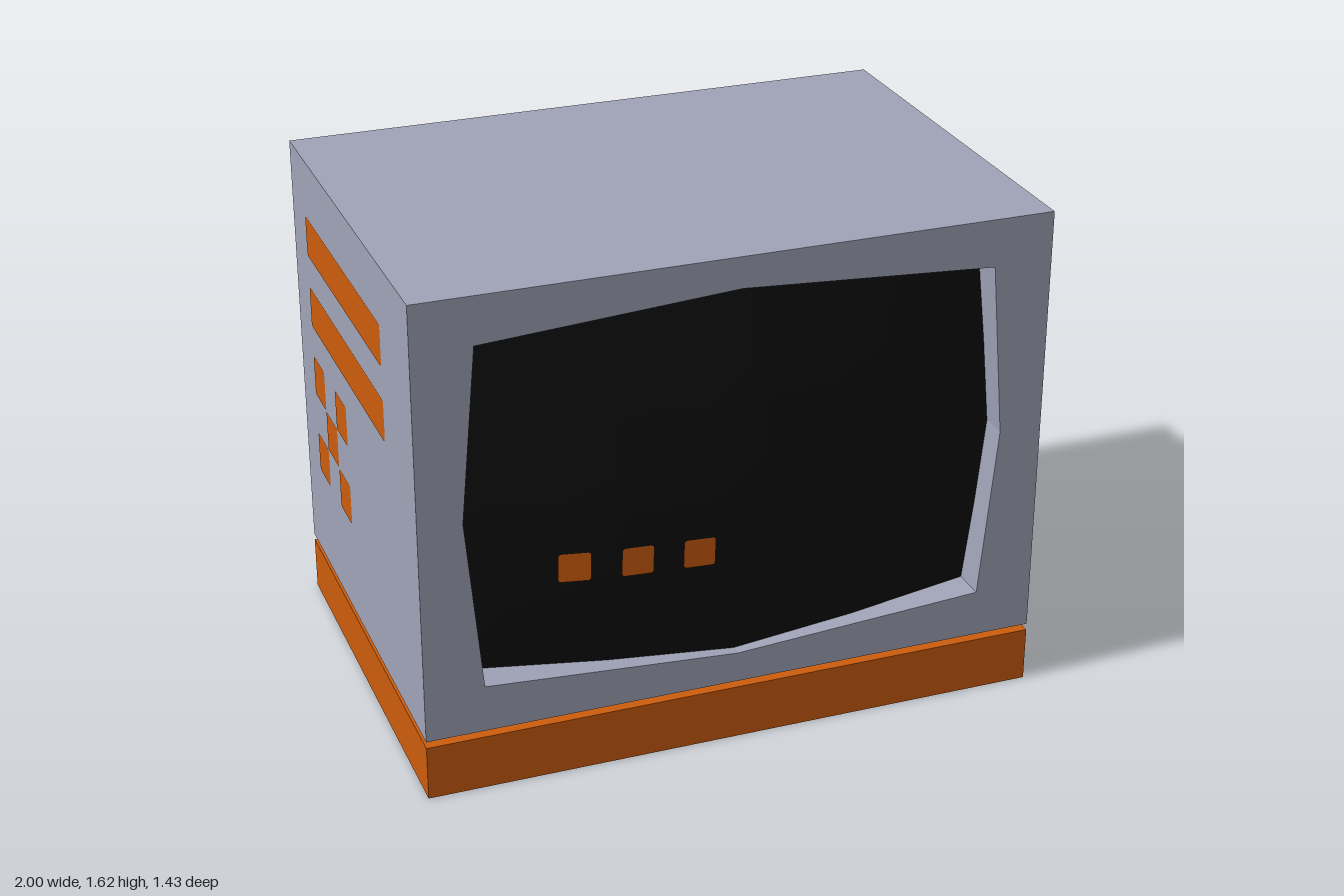
import * as THREE from 'three';

const grey = new THREE.MeshStandardMaterial({ name: 'casing grey', color: 0xa0a4b8 });
const orange = new THREE.MeshStandardMaterial({ name: 'trim orange', color: 0xcc5c0c });
const black = new THREE.MeshStandardMaterial({ name: 'screen black', color: 0x0d0d0d });

const HALF = 0.998, BACK = -0.715, FRONT = 0.67, BOTTOM = 0.2, TOP = 1.62, RIM = 0.52;
const SCREEN_Y = 0.91;

// Screen depth by horizontal (columns) and vertical (rows) distance from its centre
const DEPTHS = [
  [0.715, 0.67, 0.58],
  [0.69, 0.655, 0.575],
  [0.635, 0.61, 0.56],
];

function screenDepth(u, v) {
  const a = Math.min(Math.abs(u), 1) * 2, b = Math.min(Math.abs(v), 1) * 2;
  const i = Math.min(Math.floor(a), 1), j = Math.min(Math.floor(b), 1);
  const row = (r) => THREE.MathUtils.lerp(DEPTHS[r][i], DEPTHS[r][i + 1], a - i);
  return THREE.MathUtils.lerp(row(j), row(j + 1), b - j);
}
const halfWidth = (v) => 0.86 - 0.05 * Math.abs(v);
const halfHeight = (u) => 0.61 - 0.053 * Math.abs(u);

// Screen depth at a front-view position
function depthAt(x, y) {
  let u = 0, v = 0;
  for (let k = 0; k < 6; k++) {
    u = x / halfWidth(v);
    v = (y - SCREEN_Y) / halfHeight(u);
  }
  return screenDepth(u, v);
}

function add(parent, name, geometry, material) {
  const mesh = new THREE.Mesh(geometry, material);
  mesh.name = name;
  parent.add(mesh);
  return mesh;
}

function boxBetween(y0, y1, z0, z1) {
  return new THREE.BoxGeometry(HALF * 2, y1 - y0, z1 - z0)
    .translate(0, (y0 + y1) / 2, (z0 + z1) / 2);
}

// Flat rectangle with small rounded corners
function roundedPatch(x0, x1, y0, y1, r) {
  const s = new THREE.Shape();
  s.absarc(x1 - r, y1 - r, r, 0, Math.PI / 2);
  s.absarc(x0 + r, y1 - r, r, Math.PI / 2, Math.PI);
  s.absarc(x0 + r, y0 + r, r, Math.PI, Math.PI * 1.5);
  s.absarc(x1 - r, y0 + r, r, Math.PI * 1.5, Math.PI * 2);
  return new THREE.ShapeGeometry(s, 3);
}

export function createModel() {
  const model = new THREE.Group();
  model.name = 'monitor';

  // Base slab, with a narrow gap below the casing
  add(model, 'base', boxBetween(0, 0.178, BACK, FRONT), orange);
  add(model, 'casing', boxBetween(BOTTOM, TOP, BACK, RIM), grey);

  // Front frame with an eight-sided opening
  const frame = new THREE.Shape([
    [-HALF, BOTTOM], [HALF, BOTTOM], [HALF, TOP], [-HALF, TOP],
  ].map(([x, y]) => new THREE.Vector2(x, y)));
  const ring = [[1, 0], [1, 1], [0, 1], [-1, 1], [-1, 0], [-1, -1], [0, -1], [1, -1]];
  frame.holes.push(new THREE.Path(ring.map(([u, v]) =>
    new THREE.Vector2(u * halfWidth(v), SCREEN_Y + v * halfHeight(u)))));
  const frameGeometry = new THREE.ExtrudeGeometry(frame, { depth: FRONT - RIM, bevelEnabled: false });
  add(model, 'screenFrame', frameGeometry.translate(0, 0, RIM), grey);

  // Bulging screen
  const screen = new THREE.PlaneGeometry(2, 2, 16, 16);
  const p = screen.attributes.position;
  for (let i = 0; i < p.count; i++) {
    const u = p.getX(i), v = p.getY(i);
    p.setXYZ(i, u * halfWidth(v), SCREEN_Y + v * halfHeight(u), screenDepth(u, v));
  }
  screen.computeVertexNormals();
  add(model, 'screen', screen, black);

  // Three square lights following the screen
  for (const x of [-0.515, -0.325, -0.135]) {
    const light = roundedPatch(x - 0.049, x + 0.049, 0.639, 0.736, 0.01);
    const q = light.attributes.position;
    for (let i = 0; i < q.count; i++) q.setZ(i, depthAt(q.getX(i), q.getY(i)) + 0.004);
    light.computeVertexNormals();
    add(model, 'screenLight', light, orange);
  }

  // Side markings: two bars and a cross of five squares, as [z0, z1, y0, y1, corner]
  const marks = [[-0.54, 0.355, 1.295, 1.43, 0.014], [-0.54, 0.355, 1.05, 1.187, 0.014]];
  for (const [i, j] of [[-1, -1], [-1, 1], [0, 0], [1, -1], [1, 1]]) {
    const z = -0.336 + i * 0.138, y = 0.737 + j * 0.138;
    marks.push([z - 0.068, z + 0.068, y - 0.068, y + 0.068, i ? 0.014 : 0.004]);
  }
  for (const side of [1, -1]) {
    const group = new THREE.Group();
    group.name = side > 0 ? 'leftMarkings' : 'rightMarkings';
    for (const [z0, z1, y0, y1, r] of marks) {
      const patch = side > 0 ? roundedPatch(-z1, -z0, y0, y1, r) : roundedPatch(z0, z1, y0, y1, r);
      patch.rotateY(side * Math.PI / 2).translate(side * (HALF + 0.002), 0, 0);
      add(group, 'marking', patch, orange);
    }
    model.add(group);
  }
  return model;
}
